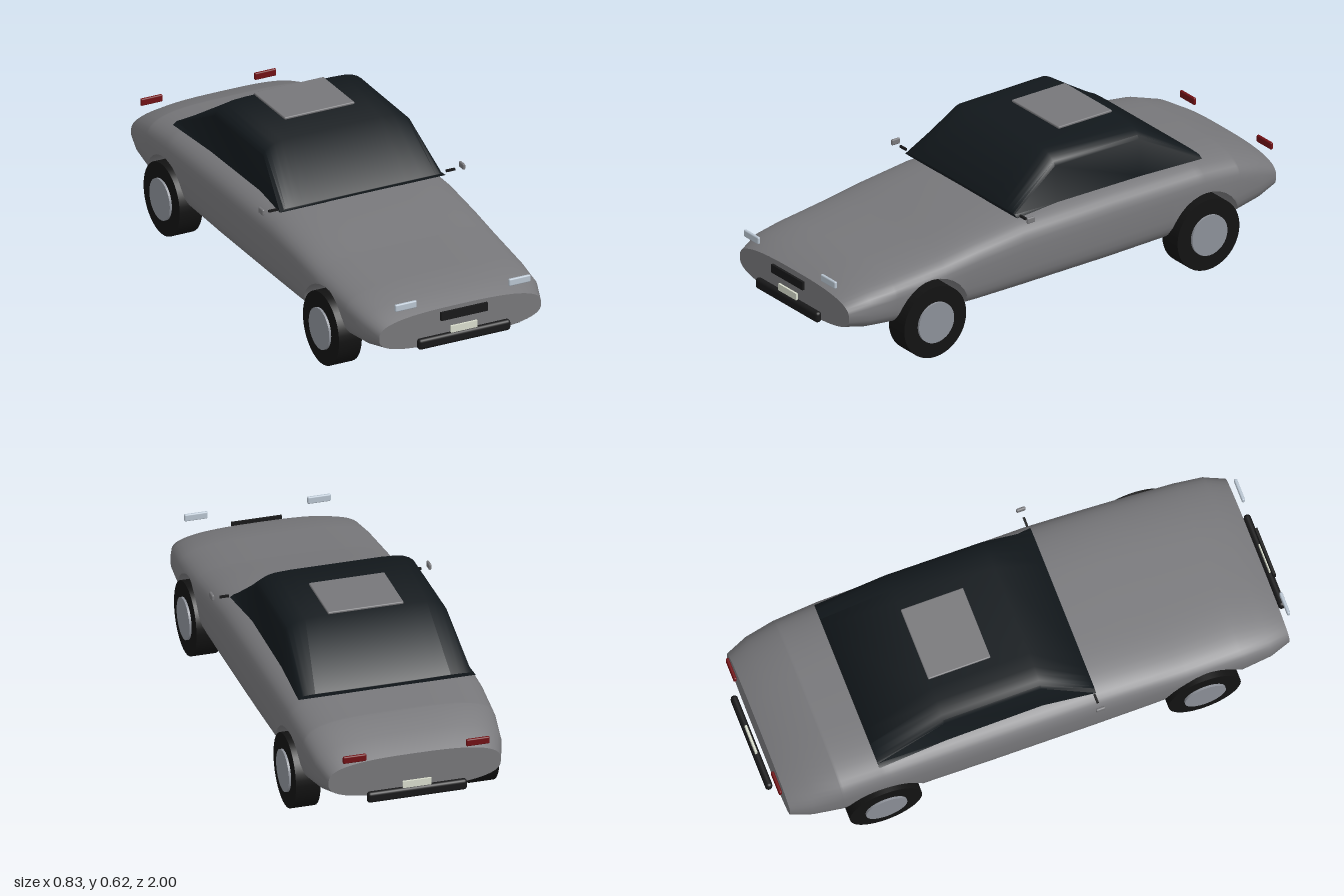
import * as THREE from 'three';
import { toCreasedNormals } from 'three/addons/utils/BufferGeometryUtils.js';
import { RoundedBoxGeometry } from 'three/addons/geometries/RoundedBoxGeometry.js';

const mat = (color) => new THREE.MeshStandardMaterial({ color });
const WHEEL_Z = 0.613, AXLE_Y = 0.139, ARCH_R = 0.162, WELL_X = 0.13;

// Body stations: z, half width, bottom y, top y, squareness
const BODY = [
  [-0.96, 0.325, 0.175, 0.325, 2.8], [-0.88, 0.352, 0.152, 0.372, 3.2],
  [-0.77, 0.366, 0.137, 0.405, 3.7], [-0.6, 0.373, 0.127, 0.424, 4],
  [-0.2, 0.377, 0.119, 0.43, 4], [0.2, 0.379, 0.119, 0.424, 4],
  [0.4, 0.377, 0.122, 0.397, 4], [0.55, 0.375, 0.127, 0.373, 3.8],
  [0.77, 0.368, 0.136, 0.348, 3.4], [0.88, 0.358, 0.143, 0.333, 3.1],
  [0.96, 0.33, 0.158, 0.297, 2.8],
];

// Surface through equal-length rings (counter-clockwise seen from +z, z ascending)
function loft(rings, crease) {
  const n = rings[0].length, tris = [];
  const add = (a, b, c) => {
    const tri = [a, b, c].map((p) => new THREE.Vector3(...p).multiplyScalar(100));
    if (new THREE.Triangle(...tri).getArea() > 1e-4) tris.push(...tri);
  };
  for (let i = 0; i < rings.length - 1; i++) {
    for (let j = 0; j < n; j++) {
      const k = (j + 1) % n, r = rings[i], s = rings[i + 1];
      add(r[j], r[k], s[k]);
      add(r[j], s[k], s[j]);
    }
  }
  // End caps
  const last = rings[rings.length - 1];
  for (const ring of [rings[0], last]) {
    const centre = [0, 1, 2].map((k) => ring.reduce((sum, p) => sum + p[k], 0) / n);
    ring.forEach((p, j) => {
      const q = ring[(j + 1) % n];
      if (ring === last) add(centre, p, q);
      else add(centre, q, p);
    });
  }
  // Creases are found at a larger scale so that close vertices stay apart
  const geo = toCreasedNormals(new THREE.BufferGeometry().setFromPoints(tris), crease);
  return geo.scale(0.01, 0.01, 0.01);
}

function stationAt(z) {
  let i = 0;
  while (i < BODY.length - 2 && z > BODY[i + 1][0]) i++;
  const a = BODY[i], b = BODY[i + 1], t = (z - a[0]) / (b[0] - a[0]);
  return a.map((v, k) => v + (b[k] - v) * t);
}

// Rounded-square section, with the lower corners notched at the wheel wells
function bodyRing(z) {
  const [, w, bottom, top, n] = stationAt(z);
  const cy = (bottom + top) / 2, h = (top - bottom) / 2;
  const pow = (v, e) => Math.sign(v) * Math.abs(v) ** e;
  const first = -Math.acos((WELL_X / w) ** (n / 2));
  const floorY = cy + h * pow(Math.sin(first), 2 / n);
  let archY = floorY, start = first;
  const d = Math.abs(Math.abs(z) - WHEEL_Z);
  if (d < ARCH_R - 1e-5) {
    archY = Math.max(floorY, AXLE_Y + Math.sqrt(ARCH_R ** 2 - d * d));
    start = Math.max(first, Math.asin(pow((archY - cy) / h, n / 2)));
  }
  const ring = [], N = 48;
  for (let i = 0; i <= N; i++) {
    const even = first + (Math.PI - 2 * first) * i / N;
    const t = THREE.MathUtils.clamp(even, start, Math.PI - start);
    ring.push([w * pow(Math.cos(t), 2 / n), cy + h * pow(Math.sin(t), 2 / n), z]);
  }
  ring.push([-WELL_X, archY, z], [-WELL_X, floorY, z], [WELL_X, floorY, z], [WELL_X, archY, z]);
  return ring;
}

function bodyGeometry() {
  const zs = BODY.map((s) => s[0]);
  for (const side of [-1, 1]) {
    for (let k = 0; k <= 16; k++) zs.push(side * WHEEL_Z + ARCH_R * Math.cos(Math.PI * k / 16));
  }
  zs.sort((a, b) => a - b);
  return loft(zs.map(bodyRing), 0.7);
}

// Cabin: the same half section scaled at four stations (z, half width, height)
function cabinGeometry() {
  const half = [[1, 0], [0.955, 0.75], [0.93, 0.83], [0.88, 0.9], [0.81, 0.955], [0.72, 0.985], [0.55, 1]];
  const section = [...half, ...half.slice().reverse().map(([x, y]) => [-x, y])];
  const stations = [[-0.62, 0.334, 0.015], [-0.36, 0.318, 0.187], [0.015, 0.315, 0.185], [0.212, 0.338, 0.012]];
  return loft(stations.map(([z, w, h]) => section.map(([x, y]) => [x * w, 0.421 + y * h, z])), 1);
}

export function createModel() {
  const car = new THREE.Group();
  car.name = 'car';
  const paint = mat(0x77777a), glass = mat(0x12181c), rubber = mat(0x121212), trim = mat(0x181819);
  const hubGrey = mat(0x8c9098), lamp = mat(0xb8c4d0), red = mat(0x701014), plate = mat(0xd8dccc);

  const add = (name, geo, material, x = 0, y = 0, z = 0, parent = car) => {
    const mesh = new THREE.Mesh(geo, material);
    mesh.name = name;
    mesh.position.set(x, y, z);
    parent.add(mesh);
  };
  const rounded = (w, h, d, r) => new RoundedBoxGeometry(w, h, d, 3, r);

  add('body', bodyGeometry(), paint);
  add('cabin', cabinGeometry(), glass);
  add('sunroof', rounded(0.285, 0.01, 0.24, 0.004), paint, 0, 0.612, -0.24);

  // Wheels with raised hubs
  const tyreGeo = new THREE.CylinderGeometry(AXLE_Y, AXLE_Y, 0.093, 40).rotateZ(Math.PI / 2);
  const hubGeo = new THREE.CylinderGeometry(0.079, 0.079, 0.02, 32).rotateZ(Math.PI / 2);
  for (const sx of [-1, 1]) {
    for (const sz of [-1, 1]) {
      const wheel = new THREE.Group();
      wheel.name = (sz > 0 ? 'front' : 'rear') + (sx > 0 ? 'Left' : 'Right') + 'Wheel';
      wheel.position.set(sx * 0.337, AXLE_Y, sz * WHEEL_Z);
      add('tyre', tyreGeo, rubber, 0, 0, 0, wheel);
      add('hub', hubGeo, hubGrey, sx * 0.045, 0, 0, wheel);
      car.add(wheel);
    }
    // Lamps and mirrors
    add('headlight', rounded(0.088, 0.028, 0.012, 0.005), lamp, sx * 0.232, 0.347, 0.978);
    add('tailLight', rounded(0.088, 0.028, 0.012, 0.005), red, sx * 0.232, 0.347, -0.978);
    add('mirrorArm', new THREE.BoxGeometry(0.035, 0.008, 0.008), trim, sx * 0.362, 0.432, 0.203);
    add('mirror', rounded(0.011, 0.023, 0.036, 0.005), paint, sx * 0.409, 0.44, 0.203);
  }

  // Nose and tail fittings
  add('grille', new THREE.BoxGeometry(0.19, 0.032, 0.01), trim, 0, 0.279, 0.99);
  for (const [end, sz] of [['front', 1], ['rear', -1]]) {
    add(end + 'Bumper', rounded(0.376, 0.042, 0.026, 0.012), trim, 0, 0.187, sz * 0.987);
    add(end + 'Plate', new THREE.BoxGeometry(0.108, 0.028, 0.008), plate, 0, 0.219, sz * 0.989);
  }
  return car;
}
